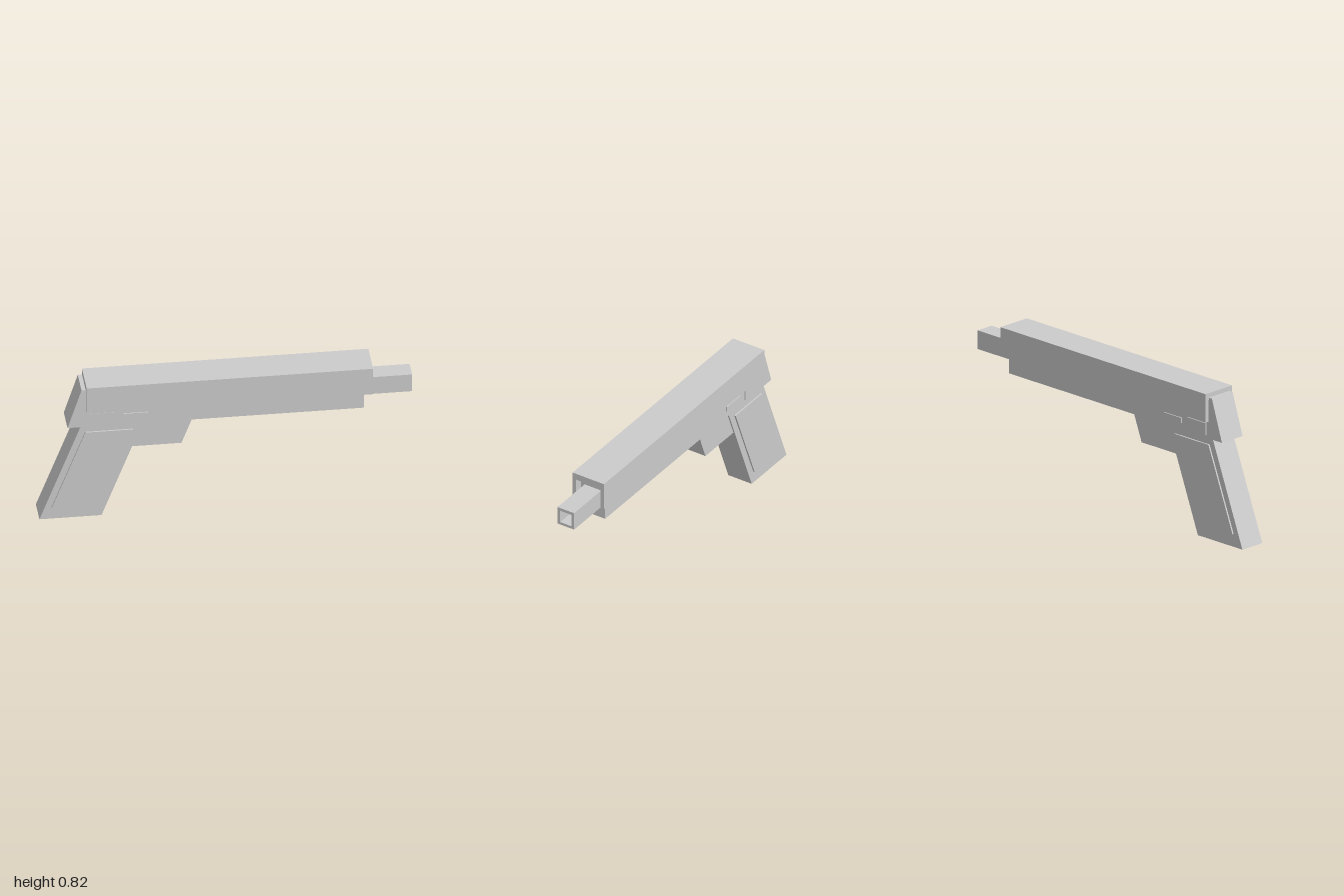
import * as THREE from 'three';

const material = new THREE.MeshStandardMaterial({ color: 0xcccccc, flatShading: true });

const trace = (Type, points) => new Type(points.map(([x, y]) => new THREE.Vector2(x, y)));

// Side profile in x and y, extruded between two z depths
function sidePlate(name, points, z0, z1) {
  const geometry = new THREE.ExtrudeGeometry(trace(THREE.Shape, points), { depth: z1 - z0, bevelEnabled: false });
  geometry.translate(0, 0, z0);
  const mesh = new THREE.Mesh(geometry, material);
  mesh.name = name;
  return mesh;
}

// Cross-section in z and y, extruded lengthwise between two x positions
function lengthwise(name, points, x0, x1, hole) {
  const shape = trace(THREE.Shape, points);
  if (hole) shape.holes.push(trace(THREE.Path, hole));
  const geometry = new THREE.ExtrudeGeometry(shape, { depth: x1 - x0, bevelEnabled: false });
  geometry.rotateY(Math.PI / 2);
  geometry.translate(x0, 0, 0);
  const mesh = new THREE.Mesh(geometry, material);
  mesh.name = name;
  return mesh;
}

const rect = (x0, y0, x1, y1) => [[x0, y0], [x1, y0], [x1, y1], [x0, y1]];

export function createModel() {
  const model = new THREE.Group();
  model.name = 'pistol';

  // Frame core filling the slide, with the slanted back end
  model.add(sidePlate('frame', [
    [-0.85, 0.565], [0.74, 0.565], [0.74, 0.783], [-0.752, 0.783],
    [-0.752, 0.796], [-0.775, 0.796],
  ], -0.078, 0.078));

  // Slide: channel open at the bottom, overhanging the frame at the front
  model.add(lengthwise('slide', [
    [-0.1, 0.66], [-0.078, 0.66], [-0.078, 0.783], [0.078, 0.783],
    [0.078, 0.66], [0.1, 0.66], [0.1, 0.82], [-0.1, 0.82],
  ], -0.75, 0.785));

  // Square hollow barrel
  model.add(lengthwise('barrel', rect(-0.053, 0.632, 0.053, 0.737), 0.735, 1,
    rect(-0.036, 0.647, 0.036, 0.72)));

  // Slanted grip and trigger guard block
  model.add(sidePlate('grip', [[-1, 0], [-0.667, 0], [-0.447, 0.565], [-0.78, 0.565]], -0.075, 0.075));
  model.add(sidePlate('triggerGuard', [[-0.51, 0.415], [-0.238, 0.415], [-0.18, 0.565], [-0.45, 0.565]], -0.066, 0.066));

  // Raised details on both sides
  for (const [side, z0, z1] of [['left', -0.084, -0.07], ['right', 0.07, 0.084]]) {
    const details = new THREE.Group();
    details.name = side === 'left' ? 'backSideDetails' : 'frontSideDetails';
    details.add(
      sidePlate('gripPanel', [[-0.935, 0.072], [-0.681, 0.072], [-0.5, 0.532], [-0.755, 0.532]], z0, z1),
      sidePlate('safetyPlate', rect(-0.733, 0.58, -0.594, 0.649), z0, z1),
      sidePlate('slideCatch', rect(-0.55, 0.604, -0.418, 0.634), z0, z1),
    );
    model.add(details);
  }
  return model;
}
